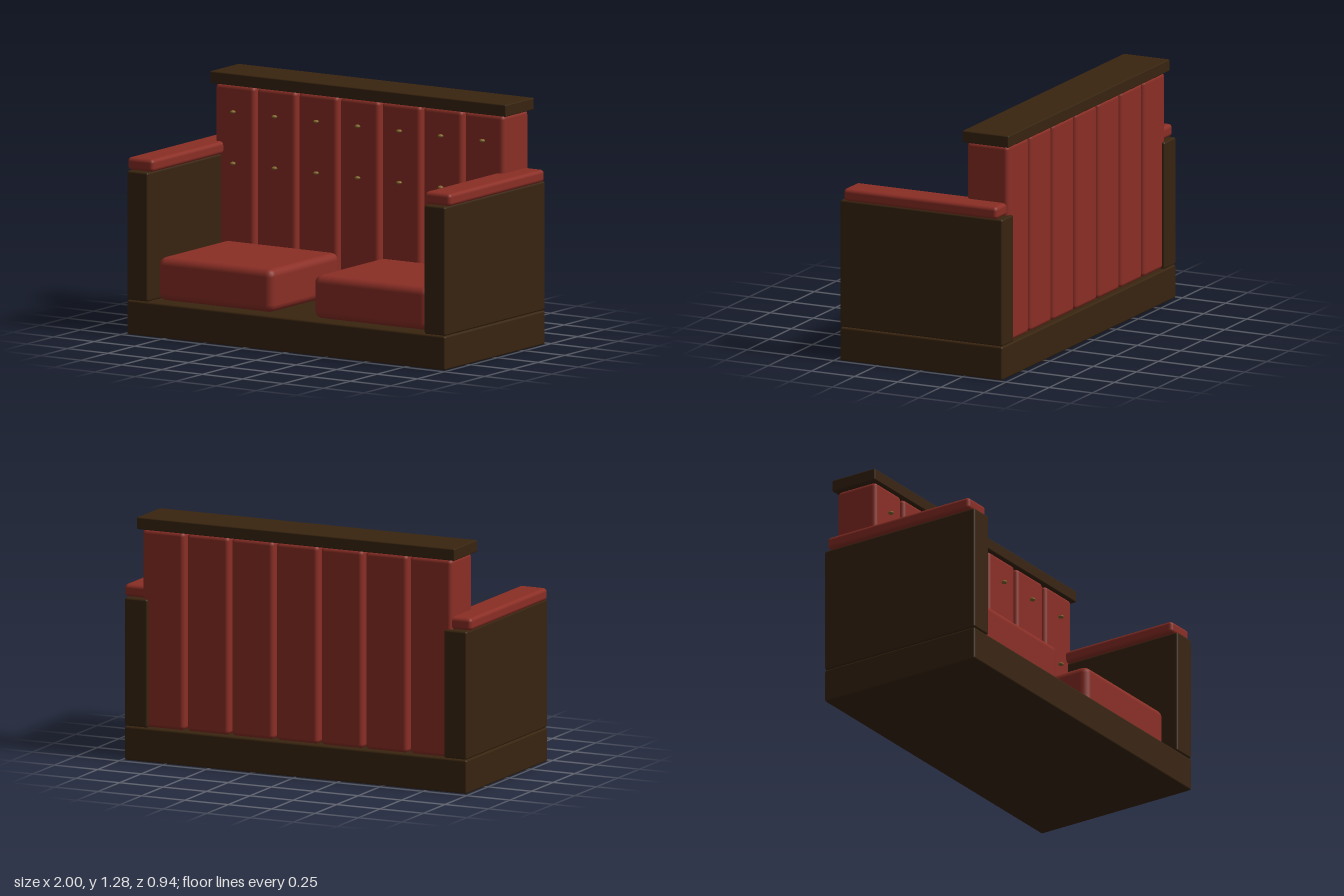
import * as THREE from 'three';
import { RoundedBoxGeometry } from 'three/addons/geometries/RoundedBoxGeometry.js';

const wood = new THREE.MeshStandardMaterial({ name: 'dark wood', color: 0x38240f });
const leather = new THREE.MeshStandardMaterial({ name: 'red leather', color: 0x8a2e25 });
const brass = new THREE.MeshStandardMaterial({ name: 'brass', color: 0x80652b });

// Rounded block given by its min and max corners
function block(name, material, [x0, y0, z0], [x1, y1, z1], radius) {
  const mesh = new THREE.Mesh(new RoundedBoxGeometry(x1 - x0, y1 - y0, z1 - z0, 2, radius), material);
  mesh.position.set((x0 + x1) / 2, (y0 + y1) / 2, (z0 + z1) / 2);
  mesh.name = name;
  return mesh;
}

export function createModel() {
  const bench = new THREE.Group();
  bench.name = 'bench';

  // Plinth and top rail
  bench.add(block('base', wood, [-0.985, 0, -0.47], [0.985, 0.178, 0.47], 0.01));
  bench.add(block('topRail', wood, [-0.915, 1.222, -0.47], [0.915, 1.285, -0.203], 0.006));

  // Arms, arm pads and seat cushions on both sides
  for (const [side, s] of [['left', 1], ['right', -1]]) {
    const arm = block(side + 'Arm', wood, [-0.065, 0.18, -0.47], [0.065, 0.855, 0.47], 0.01);
    arm.position.x = s * 0.92;
    const pad = block(side + 'ArmPad', leather, [-0.08, 0.855, -0.445], [0.08, 0.921, 0.445], 0.02);
    pad.position.x = s * 0.92;
    const cushion = block(side + 'Cushion', leather, [-0.355, 0.18, -0.24], [0.355, 0.407, 0.407], 0.04);
    cushion.position.x = s * 0.481 - 0.003;
    bench.add(arm, pad, cushion);
  }

  // Seven upholstered back panels, each with two buttons
  const buttonShape = new THREE.SphereGeometry(0.015, 12, 8);
  for (let i = -3; i <= 3; i++) {
    const x = i * 0.257;
    bench.add(block('backPanel', leather, [x - 0.121, 0.18, -0.456], [x + 0.121, 1.223, -0.216], 0.022));
    for (const y of [0.815, 1.085]) {
      const button = new THREE.Mesh(buttonShape, brass);
      button.name = 'button';
      button.scale.y = 0.6;
      button.position.set(x, y, -0.201);
      bench.add(button);
    }
  }
  return bench;
}
